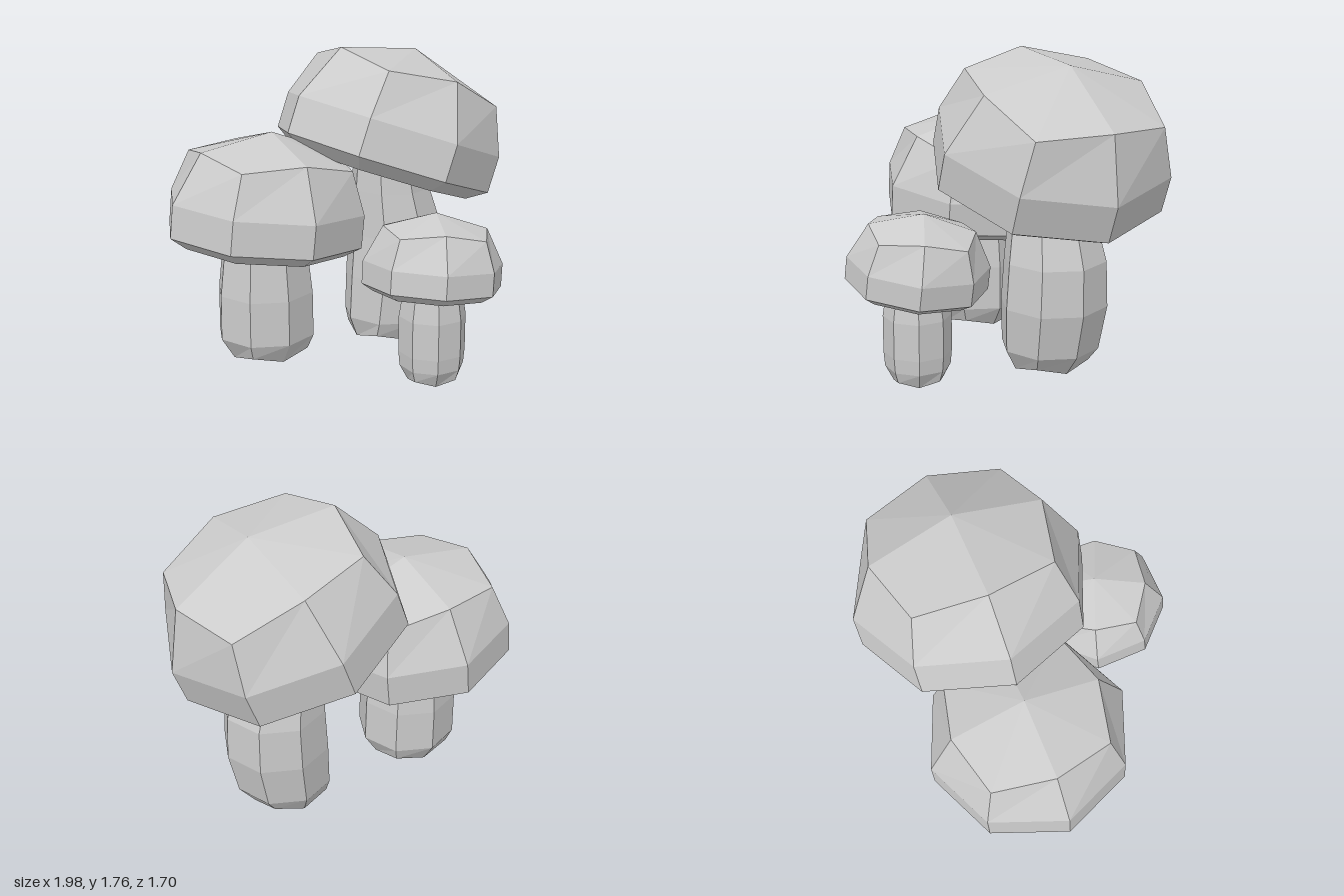
import * as THREE from 'three';

const material = new THREE.MeshStandardMaterial({ color: 0xcccccc, flatShading: true });
const SIDES = 8;

// Eight-sided loft. Ring: [radius, height, corner radius, corner height, shift in x]
function loft(rings) {
  const positions = [], index = [];
  for (const [r, y, rc = r, yc = y, shift = 0] of rings) {
    for (let k = 0; k < SIDES; k++) {
      const a = (k / SIDES) * Math.PI * 2, corner = k % 2 === 1;
      const rad = corner ? rc : r;
      positions.push(shift + rad * Math.sin(a), corner ? yc : y, rad * Math.cos(a));
    }
  }
  for (let i = 0; i < rings.length - 1; i++) {
    for (let k = 0; k < SIDES; k++) {
      const a = i * SIDES + k, b = i * SIDES + (k + 1) % SIDES;
      const c = b + SIDES, d = a + SIDES;
      if (rings[i][0] > 0) index.push(a, b, c);
      else { index.push(a, c, d); continue; }
      if (rings[i + 1][0] > 0) index.push(a, c, d);
    }
  }
  const geometry = new THREE.BufferGeometry();
  geometry.setAttribute('position', new THREE.Float32BufferAttribute(positions, 3));
  geometry.setIndex(index);
  const flat = geometry.toNonIndexed();
  flat.computeVertexNormals();
  return flat;
}

// Cap: hollow underside, lip, upright band, then a faceted dome
const capGeometry = loft([
  [0, 0.10],
  [0.43, 0.07],
  [0.53, -0.07],
  [0.64, 0],
  [0.64, 0.21],
  [0.475, 0.53, 0.54, 0.475],
  [0, 0.658],
]);

function mushroom({ name, cap, stem }) {
  const group = new THREE.Group();
  group.name = name;

  const capMesh = new THREE.Mesh(capGeometry, material);
  capMesh.name = name + 'Cap';
  capMesh.position.set(...cap.position);
  capMesh.scale.setScalar(cap.scale);
  capMesh.rotation.set(...cap.rotation, 'XZY');

  const stemMesh = new THREE.Mesh(loft(stem.rings), material);
  stemMesh.name = name + 'Stem';
  stemMesh.position.set(...stem.position);
  stemMesh.rotation.y = cap.rotation[1];

  group.add(capMesh, stemMesh);
  return group;
}

export function createModel() {
  const model = new THREE.Group();
  model.name = 'mushroomCluster';

  model.add(mushroom({
    name: 'largeMushroom',
    cap: { position: [0.31, 1.095, -0.22], scale: 1, rotation: [0, 0, -0.35] },
    stem: {
      position: [0, 0, -0.22],
      // the stem bows out to one side
      rings: [
        [0, 0.01, 0, 0.01, 0.34],
        [0.2, 0.05, 0.23, 0.09, 0.35],
        [0.27, 0.17, 0.27, 0.17, 0.375],
        [0.293, 0.42, 0.293, 0.42, 0.41],
        [0.28, 0.67, 0.28, 0.67, 0.415],
        [0.23, 0.93, 0.23, 0.93, 0.375],
        [0.19, 1.19, 0.19, 1.19, 0.35],
        [0, 1.2, 0, 1.2, 0.35],
      ],
    },
  }));

  model.add(mushroom({
    name: 'mediumMushroom',
    cap: { position: [-0.449, 0.765, -0.22], scale: 0.865, rotation: [0, 0, -0.105] },
    stem: {
      position: [-0.445, 0, -0.22],
      rings: [
        [0, 0.03],
        [0.2, 0.08, 0.24, 0.12],
        [0.275, 0.2],
        [0.272, 0.45],
        [0.242, 0.71],
        [0.21, 0.85],
        [0, 0.86],
      ],
    },
  }));

  model.add(mushroom({
    name: 'smallMushroom',
    cap: { position: [0.185, 0.568, 0.488], scale: 0.59, rotation: [-0.07, -0.41, -0.1] },
    stem: {
      position: [0.19, 0, 0.49],
      rings: [
        [0, 0],
        [0.13, 0.035, 0.155, 0.06],
        [0.175, 0.12],
        [0.182, 0.2],
        [0.182, 0.4],
        [0.16, 0.54],
        [0.14, 0.62],
        [0, 0.63],
      ],
    },
  }));

  return model;
}
